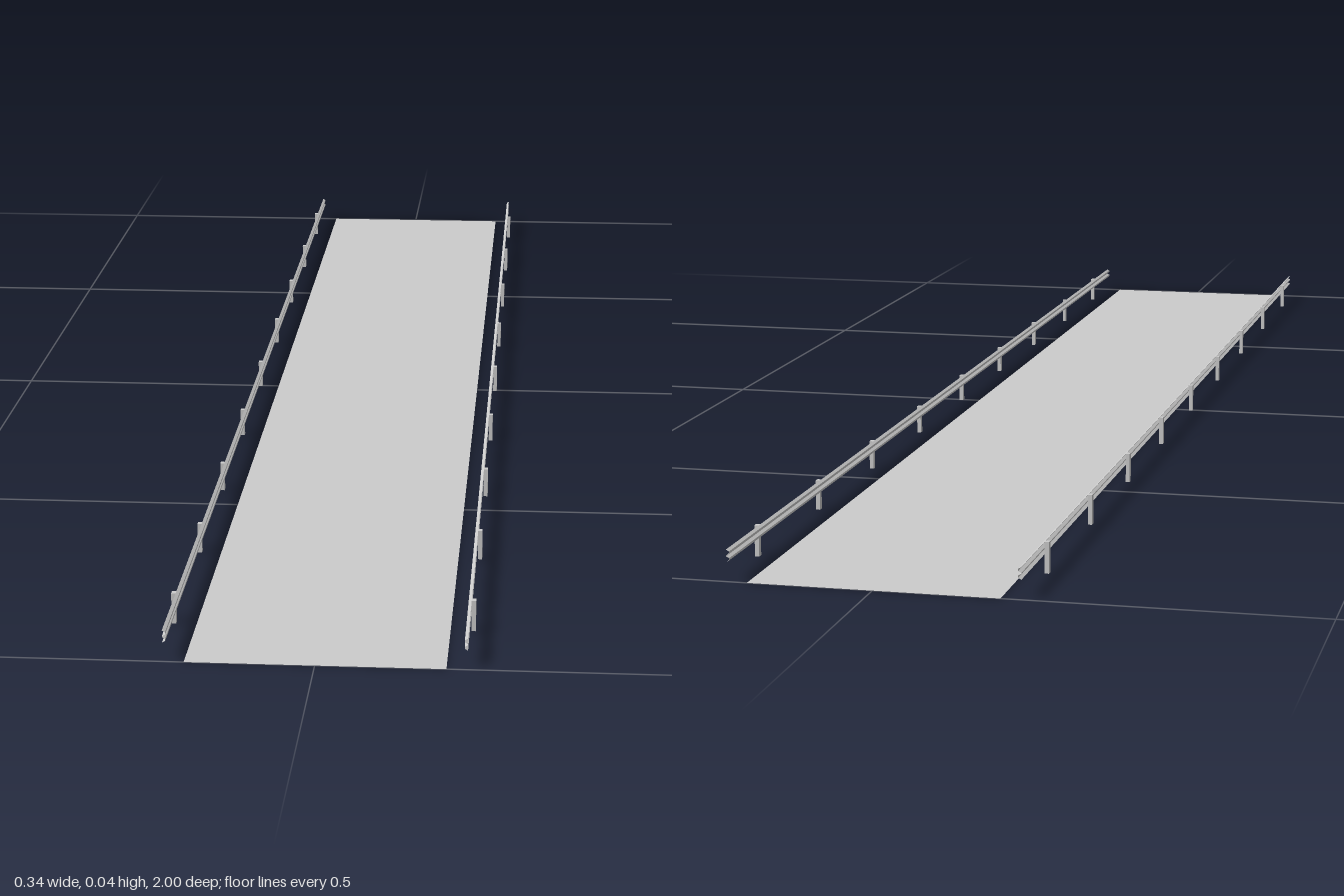
import * as THREE from 'three';

const material = new THREE.MeshStandardMaterial({ color: 0xcccccc, side: THREE.DoubleSide, flatShading: true });

// Corrugated beam: an open W-shaped strip swept along z
function railGeometry(length) {
  const profile = [
    [0.165, 0.022], [0.1615, 0.024], [0.1615, 0.0265], [0.165, 0.0285],
    [0.165, 0.0295], [0.1615, 0.0315], [0.1615, 0.034], [0.165, 0.036],
  ];
  const positions = [];
  const index = [];
  profile.forEach(([x, y], i) => {
    positions.push(x, y, -length / 2, x, y, length / 2);
    if (i > 0) {
      const a = (i - 1) * 2;
      index.push(a, a + 1, a + 3, a, a + 3, a + 2);
    }
  });
  const geometry = new THREE.BufferGeometry();
  geometry.setAttribute('position', new THREE.Float32BufferAttribute(positions, 3));
  geometry.setIndex(index);
  geometry.computeVertexNormals();
  return geometry;
}

export function createModel() {
  const model = new THREE.Group();
  model.name = 'roadSection';

  const add = (parent, name, geometry) => {
    const mesh = new THREE.Mesh(geometry, material);
    mesh.name = name;
    parent.add(mesh);
    return mesh;
  };

  // Flat road surface
  add(model, 'road', new THREE.PlaneGeometry(0.284, 2).rotateX(-Math.PI / 2));

  // Guard rails with nine posts on each side
  const rail = railGeometry(2);
  const post = new THREE.BoxGeometry(0.005, 0.036, 0.007);
  for (const side of [1, -1]) {
    const guard = new THREE.Group();
    guard.name = side > 0 ? 'leftGuardRail' : 'rightGuardRail';
    guard.rotation.y = side > 0 ? 0 : Math.PI;
    add(guard, 'rail', rail);
    for (let i = -4; i <= 4; i++) {
      add(guard, 'post', post).position.set(0.1675, 0.018, i * 2 / 9);
    }
    model.add(guard);
  }
  return model;
}
